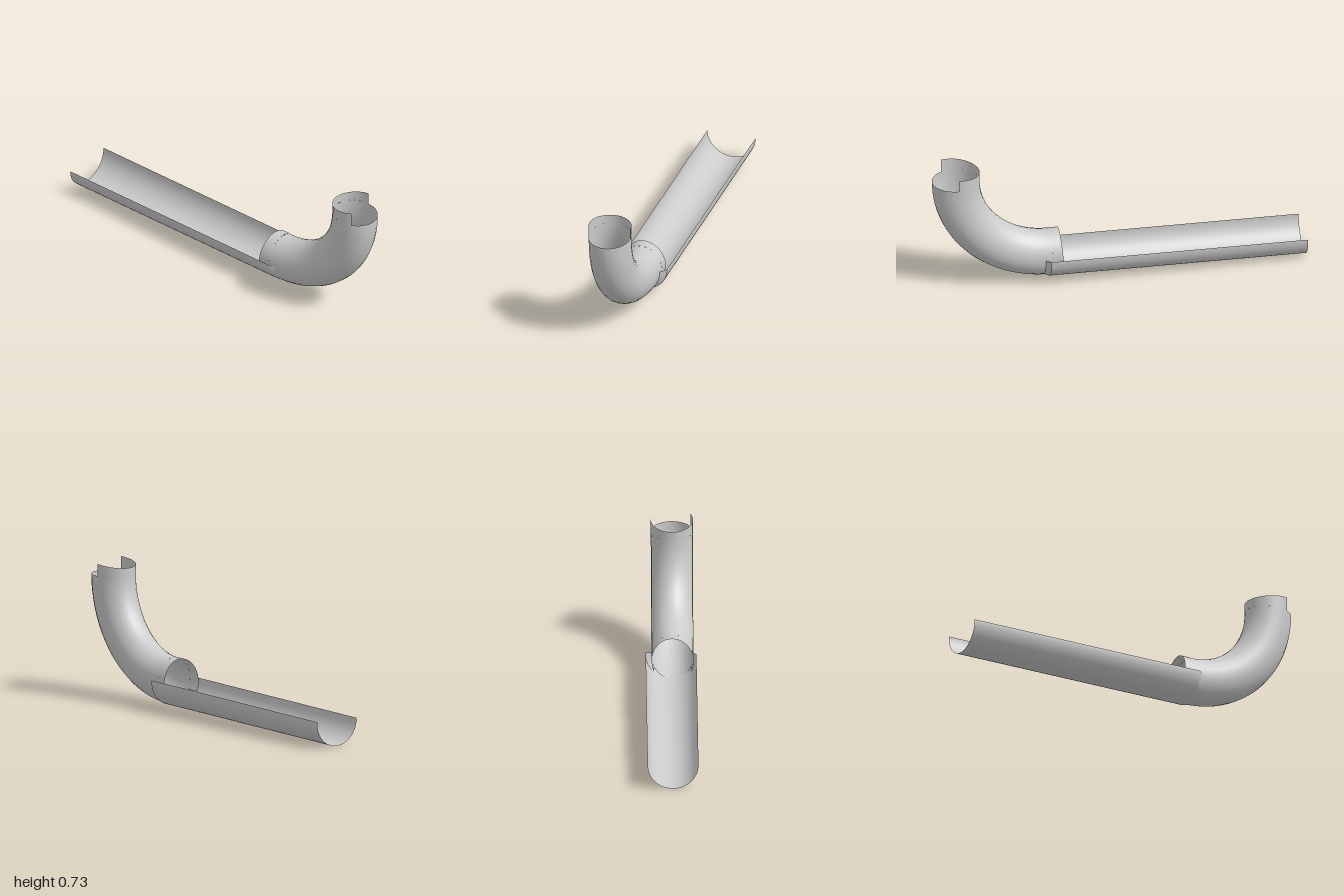
import * as THREE from 'three';
import { ParametricGeometry } from 'three/addons/geometries/ParametricGeometry.js';

const material = new THREE.MeshStandardMaterial({ color: 0xcccccc, side: THREE.DoubleSide });
const { lerp } = THREE.MathUtils;

// Thin sheet swept by a rule: angle a runs around the section, v along the length
function sheet(name, a0, a1, around, along, rule) {
  const geometry = new ParametricGeometry((u, v, p) => rule(lerp(a0, a1, u), v, p), around, along);
  const mesh = new THREE.Mesh(geometry, material);
  mesh.name = name;
  return mesh;
}

// Elbow: quarter bend with a slightly oval section (a = 0 is the outer side)
const CX = 0.367, CY = 0.655, BEND = 0.503, RADIUS = 0.127, RZ = 0.1115, CZ = 0.0085;
const bendDistance = a => BEND + RADIUS * Math.cos(a);
const sideZ = a => CZ + RZ * Math.sin(a);

// Trough: half pipe that rises gently towards the elbow
const TROUGH_R = 0.135;
const troughY = x => 0.137 + 0.018 * (x + 1);

export function createModel() {
  const group = new THREE.Group();
  group.name = 'gutterAndElbow';

  group.add(sheet('elbow', 0, Math.PI * 2, 24, 28, (a, v, p) => {
    const t = v * Math.PI / 2, d = bendDistance(a);
    p.set(CX + d * Math.sin(t), CY - d * Math.cos(t), sideZ(a));
  }));

  // Upper collar covers only the inner side and has a slanted top
  group.add(sheet('upperCollar', 1.08, Math.PI * 1.5, 16, 1, (a, v, p) => {
    const x = CX + bendDistance(a);
    const top = 0.705 + (x - 0.745) * 0.135;
    p.set(x, lerp(CY, top, v), sideZ(a));
  }));

  // Lower hood reaches over the trough
  group.add(sheet('lowerHood', 1.1, Math.PI * 2 - 1.1, 20, 1, (a, v, p) => {
    const y = CY - bendDistance(a), z = sideZ(a);
    const end = 0.305 + 0.08 * (y - 0.165) - 0.05 * z;
    p.set(lerp(CX, end, v), y, z);
  }));

  // Open half-round trough
  const front = Math.PI / 2, back = -Math.PI / 2 - 0.06;
  group.add(sheet('trough', back, front, 24, 4, (a, v, p) => {
    const x = lerp(-1, 0.38, v);
    p.set(x, troughY(x) - TROUGH_R * Math.cos(a), TROUGH_R * Math.sin(a));
  }));

  // Lip closing the trough onto the elbow
  group.add(sheet('troughLip', back, front, 24, 1, (a, v, p) => {
    const y = lerp(troughY(0.38) - TROUGH_R * Math.cos(a), 0.154 - RADIUS * Math.cos(a), v);
    p.set(lerp(0.38, 0.405, v), y, lerp(TROUGH_R * Math.sin(a), sideZ(a), v));
  }));

  return group;
}
